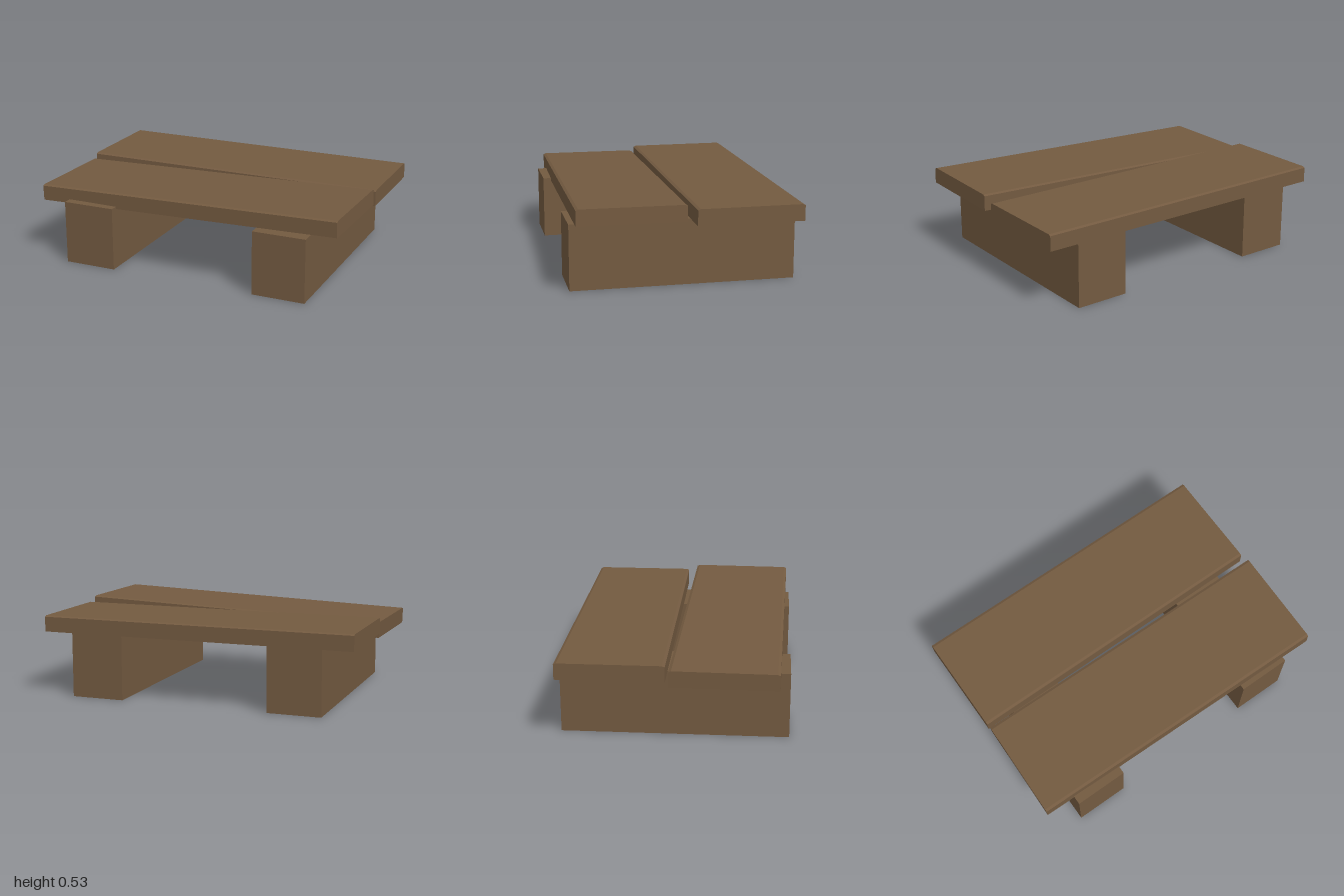
import * as THREE from 'three';

const LENGTH = 1.98, WIDTH = 0.64, THICK = 0.1;

// Plank running along x, with its two long top edges slightly eased
function plankGeometry() {
  const w = WIDTH / 2, h = THICK / 2;
  const profile = new THREE.Shape([
    [-w, -h], [w, -h], [w, h - 0.007], [w - 0.016, h], [-w + 0.016, h], [-w, h - 0.007],
  ].map(([x, y]) => new THREE.Vector2(x, y)));
  const geometry = new THREE.ExtrudeGeometry(profile, { depth: LENGTH, bevelEnabled: false });
  return geometry.translate(0, 0, -LENGTH / 2).rotateY(Math.PI / 2);
}

export function createModel() {
  const group = new THREE.Group();
  const wood = new THREE.MeshStandardMaterial({ color: 0x735a40 });
  wood.name = 'brownWood';

  const add = (name, geometry, x, y, z) => {
    const mesh = new THREE.Mesh(geometry, wood);
    mesh.name = name;
    mesh.position.set(x, y, z);
    group.add(mesh);
    return mesh;
  };

  // Two solid beams as supports
  for (const [name, side] of [['leftSupport', 1], ['rightSupport', -1]]) {
    add(name, new THREE.BoxGeometry(0.335, 0.4, 1.36), side * 0.635, 0.2, 0);
  }

  // Straight back plank, and a loose front plank that is tilted and turned
  add('backPlank', plankGeometry(), 0, 0.45, -0.36);
  const front = add('frontPlank', plankGeometry(), 0, 0.45, 0.32);
  front.rotation.set(0, -0.0215, 0.0315);

  return group;
}
